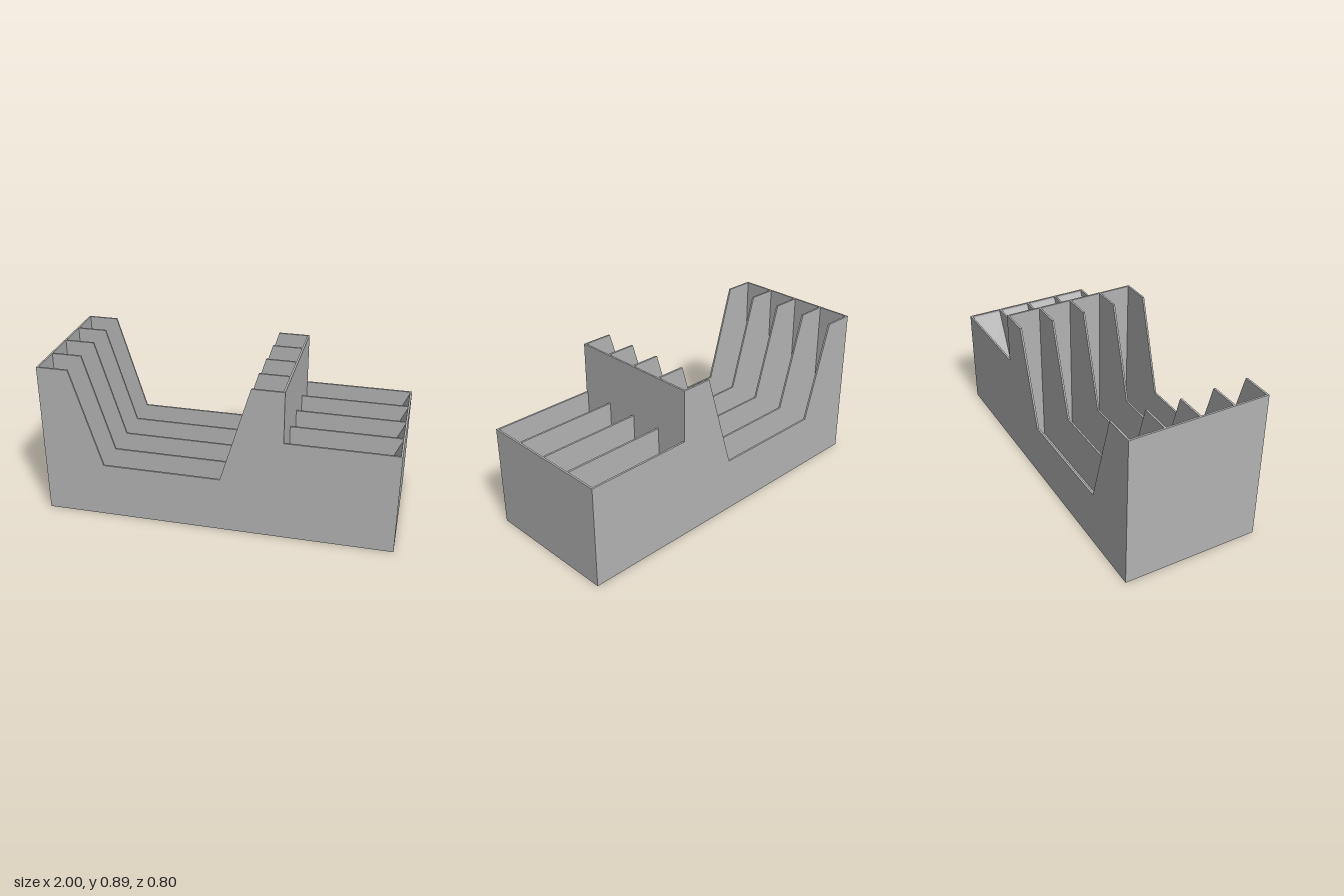
import * as THREE from 'three';

const T = 0.011;      // sheet thickness
const DEPTH = 0.8;    // overall depth
const HIGH = 0.895, STEP = 0.596, LOW = 0.323;
const SLOTS = 4;

// Extrudes an x-y outline along z, centred on the given z
function sheet(points, depth, z) {
  const shape = new THREE.Shape(points.map(([x, y]) => new THREE.Vector2(x, y)));
  const geometry = new THREE.ExtrudeGeometry(shape, { depth, bevelEnabled: false });
  return geometry.translate(0, 0, z - depth / 2);
}

export function createModel() {
  const model = new THREE.Group();
  model.name = 'slottedOrganizer';
  const grey = new THREE.MeshStandardMaterial({ color: 0xb3b3b3 });
  grey.name = 'plain grey';

  const add = (name, geometry) => {
    const mesh = new THREE.Mesh(geometry, grey);
    mesh.name = name;
    model.add(mesh);
  };

  // Two outer sides and three dividers share one cut-out outline
  const profile = [
    [-1, 0], [1, 0], [1, STEP], [0.377, STEP], [0.377, HIGH],
    [0.197, HIGH], [0.025, LOW], [-0.65, LOW], [-0.82, HIGH], [-1, HIGH],
  ];
  const pitch = (DEPTH - T) / SLOTS;
  for (let i = 0; i <= SLOTS; i++) {
    const outer = i === 0 || i === SLOTS;
    add(outer ? 'sidePanel' : 'divider', sheet(profile, T, (i - SLOTS / 2) * pitch));
  }

  // Cross walls and floor fit between the outer sides
  const inner = DEPTH - 2 * T;
  const addWall = (name, x, height) =>
    add(name, new THREE.BoxGeometry(T, height, inner).translate(x, height / 2, 0));
  addWall('tallEndWall', -1 + T / 2, HIGH);
  addWall('middleWall', 0.377 - T / 2, HIGH);
  addWall('lowEndWall', 1 - T / 2, STEP);
  add('floor', new THREE.BoxGeometry(2 - 2 * T, T, inner).translate(0, T / 2, 0));

  // Sloping ramp at the low end of every slot
  for (let i = 0; i < SLOTS; i++) {
    const z = (i - (SLOTS - 1) / 2) * pitch;
    add('ramp', sheet([[0.73, T], [1 - T, T], [1 - T, 0.585]], pitch - T, z));
  }
  return model;
}
